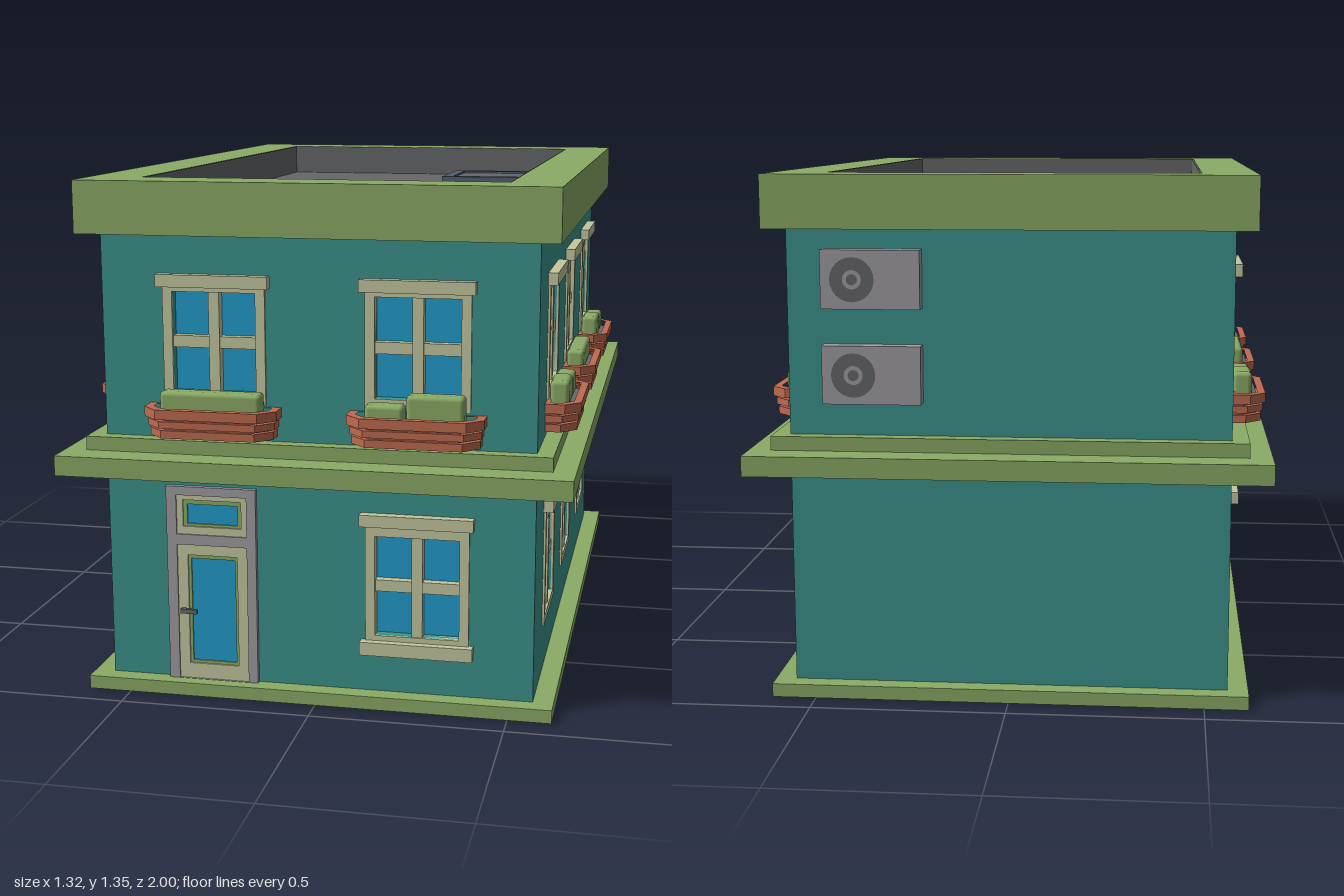
import * as THREE from 'three';
import { RoundedBoxGeometry } from 'three/addons/geometries/RoundedBoxGeometry.js';

const mat = (name, color) => Object.assign(new THREE.MeshStandardMaterial({ color }), { name });

export function createModel() {
  const teal = mat('teal wall', 0x3c948c);
  const green = mat('leaf green', 0x8bab66);
  const blue = mat('blue glass', 0x229ccc);
  const cream = mat('cream trim', 0xc5c8a0);
  const clay = mat('terracotta', 0xbf6a50);
  const dark = mat('roof grey', 0x666769);
  const slate = mat('slate blue', 0x50606e);
  const grey = mat('light grey', 0xa09da1);

  const model = new THREE.Group();
  model.name = 'townhouse';

  const add = (parent, name, geometry, material) => {
    const mesh = new THREE.Mesh(geometry, material);
    mesh.name = name;
    parent.add(mesh);
    return mesh;
  };
  // Box given by its limits
  const box = (parent, name, material, x0, x1, y0, y1, z0, z1) => {
    const g = new THREE.BoxGeometry(x1 - x0, y1 - y0, z1 - z0);
    g.translate((x0 + x1) / 2, (y0 + y1) / 2, (z0 + z1) / 2);
    return add(parent, name, g, material);
  };
  const rectPoints = ([x0, x1, y0, y1]) =>
    [[x0, y0], [x1, y0], [x1, y1], [x0, y1]].map(p => new THREE.Vector2(...p));
  // Upright rectangular panel with rectangular holes, from z0 to z1
  const panel = (parent, name, material, rect, holes, z0, z1) => {
    const shape = new THREE.Shape(rectPoints(rect));
    for (const h of holes) shape.holes.push(new THREE.Path(rectPoints(h)));
    const g = new THREE.ExtrudeGeometry(shape, { depth: z1 - z0, bevelEnabled: false });
    g.translate(0, 0, z0);
    return add(parent, name, g, material);
  };
  // Horizontal ring: a panel laid flat, resting at height y
  const flatRing = (parent, name, material, rect, holes, y, height) => {
    const mesh = panel(parent, name, material, rect, holes, 0, height);
    mesh.geometry.rotateX(-Math.PI / 2);
    mesh.position.y = y;
    return mesh;
  };

  // Slabs and ledges
  box(model, 'baseSlab', green, -0.613, 0.613, 0, 0.035, -0.93, 0.93);
  box(model, 'lowerLedge', green, -0.66, 0.66, 0.598, 0.65, -1, 1);
  box(model, 'upperLedge', green, -0.603, 0.603, 0.65, 0.686, -0.92, 0.92);

  // Roof: parapet, grey lining, deck and hatch
  const W = 0.475, D = 0.795;
  flatRing(model, 'parapet', green, [-0.613, 0.613, -0.93, 0.93], [[-W, W, -D, D]], 1.21, 0.135);
  flatRing(model, 'parapetLining', dark, [-W, W, -D, D],
    [[-W + 0.004, W - 0.004, -D + 0.004, D - 0.004]], 1.22, 0.124);
  box(model, 'roofDeck', dark, -W, W, 1.212, 1.255, -D, D);
  box(model, 'roofHatchPanel', slate, 0.12, 0.415, 1.25, 1.262, -0.725, -0.43);
  box(model, 'roofHatchCover', dark, 0.14, 0.395, 1.25, 1.266, -0.7, -0.455);
  flatRing(model, 'roofHatchFrame', slate, [0.108, 0.425, 0.42, 0.735], [[0.14, 0.395, 0.455, 0.7]], 1.25, 0.022);

  // Window heights: glass bottom and top, frame bottom, header bottom and top
  const lower = { g0: 0.187, g1: 0.451, f0: 0.165, h0: 0.48, h1: 0.511 };
  const upper = { g0: 0.808, g1: 1.065, f0: 0.78, h0: 1.078, h1: 1.11 };
  const glassHalf = 0.109;
  const opening = (u, s) => [u - glassHalf, u + glassHalf, s.g0, s.g1];

  const addWindow = (wall, u, s, sill) => {
    const w = new THREE.Group();
    w.name = 'window';
    w.position.x = u;
    wall.add(w);
    panel(w, 'windowFrame', cream, [-0.134, 0.134, s.f0, s.h0 + 0.005], [opening(0, s)], -0.02, 0.006);
    box(w, 'windowGlass', blue, -0.112, 0.112, s.g0 - 0.003, s.g1 + 0.003, -0.032, -0.025);
    const mid = (s.g0 + s.g1) / 2;
    box(w, 'verticalBar', cream, -0.014, 0.014, s.g0, s.g1, -0.026, 0.002);
    box(w, 'crossBar', cream, -glassHalf, glassHalf, mid - 0.015, mid + 0.015, -0.026, -0.002);
    box(w, 'windowHeader', cream, -0.146, 0.146, s.h0, s.h1, -0.01, 0.026);
    if (sill) box(w, 'windowSill', cream, -0.146, 0.146, 0.138, 0.173, -0.01, 0.026);
  };

  // Planter tier: chamfered plan against the wall
  const tier = (half, depth, height, hollow) => {
    const outline = (h, d, c, back) => [[-h, back], [h, back], [h, d - c], [h - c, d], [-h + c, d], [-h, d - c]]
      .map(([x, z]) => new THREE.Vector2(x, -z));
    const shape = new THREE.Shape(outline(half, depth, 0.04, 0));
    if (hollow) shape.holes.push(new THREE.Path(outline(half - 0.022, depth - 0.02, 0.03, 0.012)));
    return new THREE.ExtrudeGeometry(shape, { depth: height, bevelEnabled: false }).rotateX(-Math.PI / 2);
  };
  // Bushes are listed as [left, right, top]
  const addPlanter = (wall, u, bushes) => {
    const p = new THREE.Group();
    p.name = 'flowerBox';
    p.position.x = u;
    wall.add(p);
    const layers = [[0.7, 0.02, 0.162, 0.08], [0.72, 0.006, 0.152, 0.07], [0.726, 0.018, 0.166, 0.084],
      [0.744, 0.006, 0.155, 0.073], [0.75, 0.025, 0.173, 0.091]];
    layers.forEach(([y, h, half, depth], i) => {
      add(p, 'planterTier', tier(half, depth, h, i === 4), clay).position.y = y;
    });
    add(p, 'planterSoil', tier(0.152, 0.072, 0.01), dark).position.y = 0.75;
    for (const [a, b, top] of bushes) {
      const g = new RoundedBoxGeometry(b - a, top - 0.755, 0.05, 2, 0.012);
      add(p, 'bush', g, green).position.set((a + b) / 2, (top + 0.755) / 2, 0.032);
    }
  };

  // Wall with windows, facing +z in its own frame
  const addWall = (name, half, angle, distance, windows) => {
    const wall = new THREE.Group();
    wall.name = name;
    wall.rotation.y = angle;
    wall.position.set(Math.sin(angle) * distance, 0, Math.cos(angle) * distance);
    model.add(wall);
    panel(wall, 'wallPanel', teal, [-half, half, 0.03, 1.215], windows.map(([u, s]) => opening(u, s)), -0.04, 0);
    for (const [u, s, sill] of windows) addWindow(wall, u, s, sill);
    return wall;
  };

  const single = [[-0.132, 0.132, 0.816]];
  const pair = [[-0.118, -0.002, 0.826], [0.006, 0.12, 0.816]];
  const X = 0.56, Z = 0.883;

  const front = addWall('frontWall', X, 0, Z, [[-0.264, upper], [0.26, upper], [0.26, lower, true]]);
  addPlanter(front, -0.264, single);
  addPlanter(front, 0.261, [[-0.127, -0.028, 0.803], [-0.022, 0.124, 0.83]]);

  // Side walls, each with three windows per floor
  for (const side of [1, -1]) {
    const spots = [0.54, 0.01, -0.552].map(z => -side * z);
    const wall = addWall(side > 0 ? 'leftWall' : 'rightWall', Z, side * Math.PI / 2, X,
      spots.flatMap(u => [[u, lower], [u, upper]]));
    spots.forEach((u, i) => addPlanter(wall, u, i === 1 ? single : pair));
  }

  // Front door with transom
  const door = new THREE.Group();
  door.name = 'frontDoor';
  front.add(door);
  panel(door, 'doorSurround', grey, [-0.4, -0.16, 0.035, 0.558],
    [[-0.373, -0.185, 0.036, 0.402], [-0.373, -0.185, 0.43, 0.535]], -0.01, 0.014);
  const glazed = (name, outer, rim, pane) => {
    panel(door, name, cream, outer, [rim], -0.01, 0.01);
    panel(door, name + 'Rim', green, rim, [pane], -0.01, 0.006);
    box(door, name + 'Glass', blue, ...pane, -0.006, 0.002);
  };
  glazed('doorLeaf', [-0.373, -0.185, 0.036, 0.402], [-0.345, -0.212, 0.077, 0.374], [-0.337, -0.219, 0.085, 0.364]);
  glazed('transom', [-0.373, -0.185, 0.43, 0.535], [-0.356, -0.2, 0.451, 0.522], [-0.345, -0.21, 0.458, 0.51]);
  box(door, 'doorHandle', dark, -0.365, -0.32, 0.217, 0.229, 0.016, 0.024);
  box(door, 'handleStem', dark, -0.362, -0.352, 0.217, 0.229, 0.008, 0.02);

  // Back wall with two cooling units
  const back = addWall('backWall', X, Math.PI, Z, []);
  for (const y of [1.085, 0.845]) {
    const unit = new THREE.Group();
    unit.name = 'coolingUnit';
    unit.position.set(-0.342, y, 0);
    back.add(unit);
    box(unit, 'unitCase', grey, -0.125, 0.125, -0.074, 0.074, -0.005, 0.04);
    const ring = new THREE.RingGeometry(0.024, 0.056, 24);
    add(unit, 'fanRing', ring, dark).position.set(-0.045, 0, 0.042);
    add(unit, 'fanHub', new THREE.CircleGeometry(0.014, 16), dark).position.set(-0.045, 0, 0.042);
  }
  return model;
}
